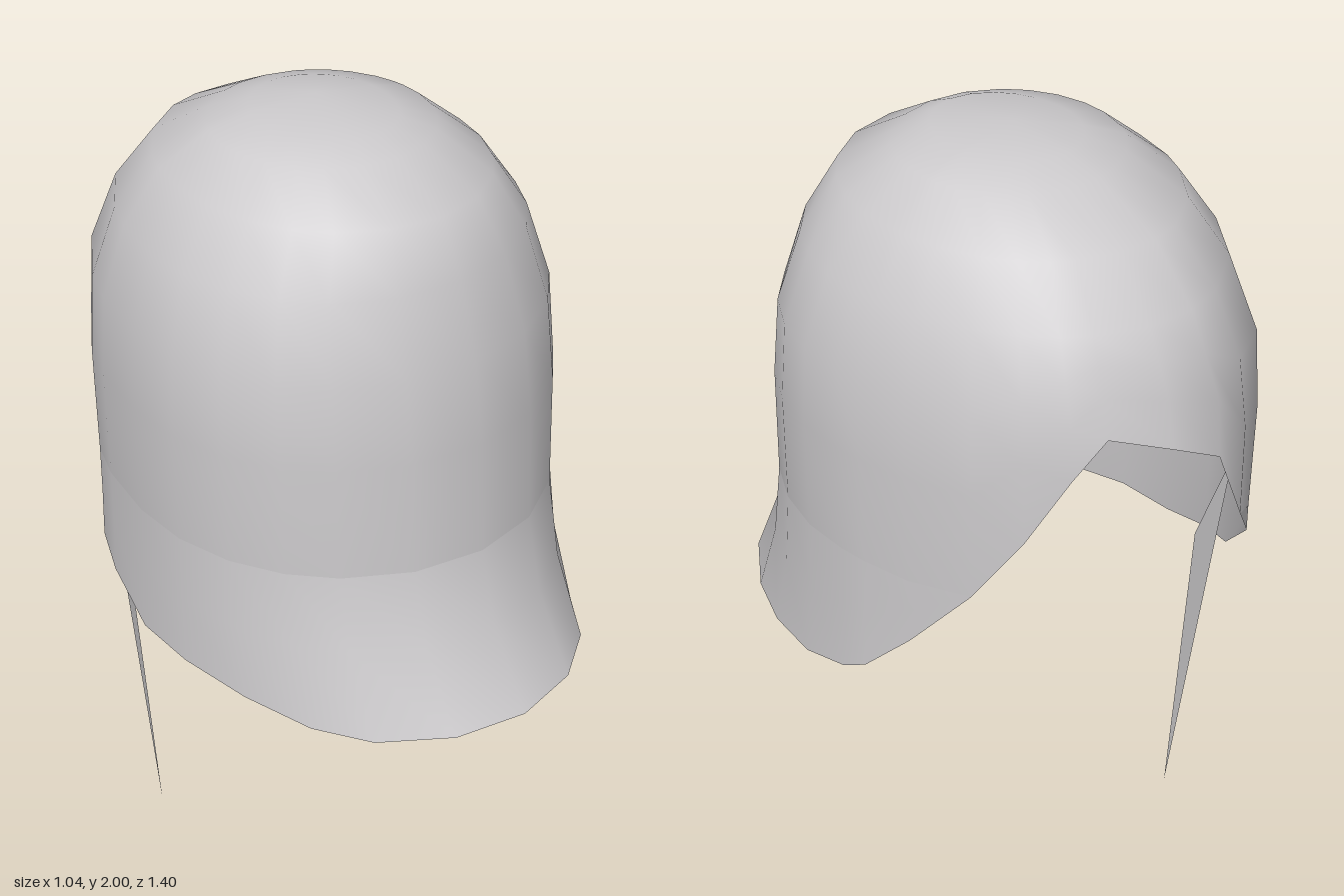
import * as THREE from 'three';
import { mergeVertices } from 'three/addons/utils/BufferGeometryUtils.js';

// Cross-sections: height, half width, front z, back z, centre z
const SECTIONS = [
  [2.0, 0, -0.07, -0.07, -0.07],
  [1.975, 0.16, 0.15, -0.23, -0.05],
  [1.945, 0.26, 0.22, -0.32, -0.05],
  [1.86, 0.365, 0.37, -0.49, -0.04],
  [1.73, 0.455, 0.435, -0.6, -0.02],
  [1.55, 0.51, 0.49, -0.69, 0],
  [1.35, 0.52, 0.52, -0.705, 0],
  [1.07, 0.515, 0.535, -0.7, 0],
  [0.87, 0.515, 0.59, -0.7, 0],
  [0.69, 0.524, 0.705, -0.7, 0],
  [0.6, 0.524, 0.705, -0.7, 0],
];

// Lower edge: angle in degrees (0 front, 90 at +x), height
const RIM = [
  [0, 0.695], [20, 0.695], [39, 0.68], [54, 0.67], [68, 0.675], [82, 0.69],
  [94, 0.73], [100, 0.77], [111, 0.9], [125, 1.08], [136, 1.25], [146, 1.42],
  [154, 1.52], [170, 1.47], [185, 1.4], [198, 1.18], [218, 1.0], [237, 0.82],
  [247, 0.79], [262, 0.735], [276, 0.73], [292, 0.715], [307, 0.69],
  [321, 0.68], [340, 0.69],
];

const CREASE = 1.07;
const FIXED = 1.73;

// Point on the shell wall at an angle and height
function wall(deg, y) {
  let k = 0;
  while (k < SECTIONS.length - 2 && SECTIONS[k + 1][0] > y) k++;
  const a = SECTIONS[k], b = SECTIONS[k + 1];
  const f = (a[0] - y) / (a[0] - b[0]);
  const [, w, front, back, mid] = a.map((v, i) => v + (b[i] - v) * f);
  const t = THREE.MathUtils.degToRad(deg);
  const c = Math.cos(t);
  return [w * Math.sin(t), y, mid + (c > 0 ? front - mid : mid - back) * c];
}

// Closed band of quads; heights(rim) gives the row heights of one column
function band(heights) {
  const positions = [], index = [];
  const n = RIM.length;
  let rows = 0;
  for (const [deg, rim] of RIM) {
    const ys = heights(rim);
    rows = ys.length;
    for (const y of ys) positions.push(...wall(deg, y));
  }
  for (let j = 0; j < n; j++) {
    for (let i = 0; i < rows - 1; i++) {
      const a = j * rows + i, d = ((j + 1) % n) * rows + i;
      index.push(a, a + 1, d + 1, a, d + 1, d);
    }
  }
  const g = new THREE.BufferGeometry();
  g.setAttribute('position', new THREE.Float32BufferAttribute(positions, 3));
  g.setIndex(index);
  const merged = mergeVertices(g, 1e-5);
  merged.computeVertexNormals();
  return merged;
}

export function createModel() {
  const group = new THREE.Group();
  const grey = new THREE.MeshStandardMaterial({ color: 0xcccacc, side: THREE.DoubleSide });
  grey.name = 'light grey';

  const add = (name, geometry) => {
    const mesh = new THREE.Mesh(geometry, grey);
    mesh.name = name;
    group.add(mesh);
  };

  // Domed upper shell, cut away at the back
  add('crown', band((rim) => {
    const bottom = Math.max(CREASE, rim);
    return SECTIONS.filter((s) => s[0] >= CREASE).map(([y]) => (y >= FIXED
      ? y : FIXED - (FIXED - y) * (FIXED - bottom) / (FIXED - CREASE)));
  }));

  // Flared lower part, vanishing where the edge rises above the crease
  add('skirt', band((rim) => {
    const top = Math.max(CREASE, rim);
    return [0, 0.5, 1].map((f) => top + (rim - top) * f);
  }));

  // Thin hanging point on the -x side
  const spike = new THREE.BufferGeometry();
  spike.setAttribute('position', new THREE.Float32BufferAttribute([
    -0.435, 0.79, -0.275, -0.378, 0, -0.265, -0.41, 1.1, -0.41,
  ], 3));
  spike.setIndex([0, 2, 1]);
  spike.computeVertexNormals();
  add('hangingPoint', spike);

  return group;
}
